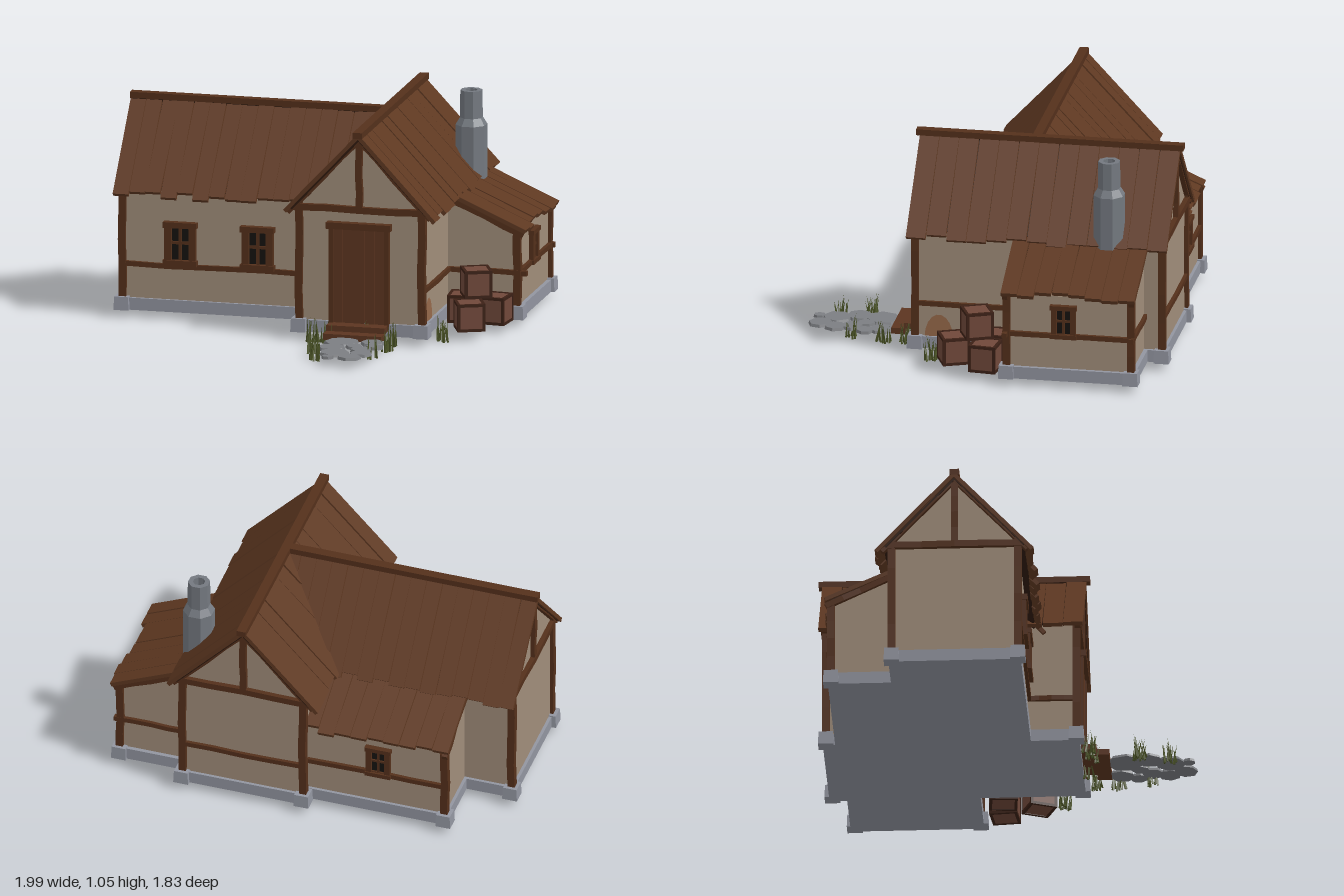
import * as THREE from 'three';

const mat = (color, side = THREE.FrontSide) => new THREE.MeshStandardMaterial({ color, side, flatShading: true });
const M = {
  wall: mat(0xa08d7a), roof: mat(0x5e3821), roofGap: mat(0x2e190e), wood: mat(0x54301b), door: mat(0x5c3520),
  stone: mat(0x9295a0), chimney: mat(0x747980), slab: mat(0x7c7e82), glass: mat(0x15120f), crate: mat(0x70483a),
  crateEdge: mat(0x3c2116), patch: mat(0x96694a, THREE.DoubleSide), grass: mat(0x4c5527, THREE.DoubleSide),
};
const V = (x, y, z) => new THREE.Vector3(x, y, z);

export function createModel() {
  const root = new THREE.Group();
  root.name = 'cottage';
  let seed = 7;
  const rnd = (a, b) => {
    seed = (seed * 16807) % 2147483647;
    return a + (b - a) * seed / 2147483647;
  };
  const add = (parent, name, geo, m, x = 0, y = 0, z = 0) => {
    const mesh = new THREE.Mesh(geo, m);
    mesh.name = name;
    mesh.position.set(x, y, z);
    parent.add(mesh);
    return mesh;
  };
  const box = (parent, name, m, w, h, d, x, y, z) => add(parent, name, new THREE.BoxGeometry(w, h, d), m, x, y, z);
  const group = (name, x = 0, y = 0, z = 0, yaw = 0, parent = root) => {
    const g = new THREE.Group();
    g.name = name;
    g.position.set(x, y, z);
    g.rotation.order = 'YXZ';
    g.rotation.y = yaw;
    parent.add(g);
    return g;
  };

  // Walls: profiles extruded along -x (alongX) or +z
  const wall = (name, pts, start, depth, alongX = false) => {
    const shape = new THREE.Shape(pts.map(p => new THREE.Vector2(...p)));
    const mesh = add(root, name, new THREE.ExtrudeGeometry(shape, { depth, bevelEnabled: false }), M.wall);
    if (alongX) { mesh.rotation.y = -Math.PI / 2; mesh.position.x = start; } else mesh.position.z = start;
  };
  const gable = (c, r) => [[c - r, 0.06], [c + r, 0.06], [c + r, 0.69], [c, 1.01], [c - r, 0.69]];
  wall('mainWalls', gable(0.29, 0.305), -0.87, 1.21);
  wall('wingWalls', gable(-0.2, 0.305), 0.2, 1.155, true);
  wall('sideRoomWalls', [[0.55, 0.06], [0.94, 0.06], [0.94, 0.475], [0.55, 0.64]], -0.78, 0.61);
  wall('backRoomWalls', [[-0.81, 0.06], [-0.45, 0.06], [-0.45, 0.64], [-0.81, 0.475]], 0.1, 0.815, true);

  // Stone footing under every block: x0, x1, z0, z1
  for (const [x0, x1, z0, z1] of [[-0.03, 0.61, -0.885, 0.355], [-0.97, 0.1, -0.52, 0.12],
    [0.5, 0.96, -0.8, -0.155], [-0.73, 0.1, -0.825, -0.4]])
    box(root, 'foundation', M.stone, x1 - x0, 0.06, z1 - z0, (x0 + x1) / 2, 0.077, (z0 + z1) / 2);

  // Timbers: slightly crooked beams between two points
  const beam = (name, a, b, w = 0.036, d = w) => {
    const dir = b.clone().sub(a), len = dir.length();
    const geo = new THREE.BoxGeometry(w, len, d, 1, 4, 1), p = geo.attributes.position, ph = rnd(0, 6);
    for (let i = 0; i < p.count; i++)
      p.setX(i, p.getX(i) + 0.003 * Math.sin(p.getY(i) / len * 8 + ph));
    const m = add(root, name, geo, M.wood);
    m.position.copy(a).add(b).multiplyScalar(0.5);
    m.quaternion.setFromUnitVectors(V(0, 1, 0), dir.normalize());
  };
  // Corner posts on stone blocks: x, z, top
  for (const [x, z, top] of [[-0.015, 0.34, 0.69], [0.595, 0.34, 0.69], [-0.015, -0.87, 0.69], [0.595, -0.87, 0.69],
    [-0.955, 0.105, 0.69], [-0.955, -0.505, 0.69], [0.94, -0.17, 0.475], [0.94, -0.78, 0.475], [-0.715, -0.81, 0.475]]) {
    beam('cornerPost', V(x, 0.1, z), V(x, top, z));
    const block = add(root, 'cornerStone', new THREE.CylinderGeometry(0.049, 0.053, 0.066, 4), M.stone, x, 0.08, z);
    block.rotation.y = Math.PI / 4;
  }
  // Mid rails: x0, z0, x1, z1
  for (const [x0, z0, x1, z1] of [[-0.955, 0.11, -0.02, 0.11], [0.6, -0.165, 0.99, -0.165], [0.6, -0.785, 0.97, -0.785],
    [0.945, -0.8, 0.945, -0.15], [0.6, -0.16, 0.6, 0.34], [-0.015, -0.875, 0.595, -0.875], [-0.715, -0.815, -0.02, -0.815],
    [-0.02, 0.1, -0.02, 0.34]])
    beam('midRail', V(x0, 0.275, z0), V(x1, 0.275, z1), 0.024);
  // Gable trusses: tie beam, king post and rafters
  const truss = at => {
    beam('tieBeam', at(-0.33, 0.665), at(0.33, 0.665), 0.032);
    beam('kingPost', at(0, 0.67), at(0, 1.0), 0.032);
    for (const s of [-1, 1]) beam('gableRafter', at(s * 0.355, 0.636), at(0, 1.012), 0.03);
  };
  truss((u, y) => V(0.285 + u, y, 0.348));
  truss((u, y) => V(0.285 + u, y, -0.878));
  truss((u, y) => V(-0.962, y, -0.2 + u));
  beam('sideRoomRafter', V(0.6, 0.625, -0.165), V(0.97, 0.462, -0.165), 0.028);
  beam('sideRoomRafter', V(0.6, 0.625, -0.785), V(0.97, 0.462, -0.785), 0.028);
  beam('backRoomRafter', V(-0.72, 0.62, -0.5), V(-0.72, 0.462, -0.835), 0.028);

  // Roof slopes: uneven planks over a dark underlay
  const slope = (name, x, y, z, yaw, pitch, width, len, n) => {
    const g = group(name, x, y, z, yaw);
    g.rotation.x = pitch;
    box(g, 'roofUnderlay', M.roofGap, width - 0.02, 0.01, len - 0.04, 0, -0.022, (len - 0.04) / 2);
    const w = width / n;
    for (let i = 0; i < n; i++) {
      const l = len + rnd(-0.018, 0.016);
      const plank = box(g, 'roofPlank', M.roof, w * 0.965, 0.02, l, (i + 0.5) * w - width / 2, -0.01 + rnd(-0.004, 0.004), l / 2);
      plank.rotation.y = rnd(-0.008, 0.008);
    }
  };
  const steep = Math.atan2(0.41, 0.385), low = Math.atan2(0.17, 0.385), H = Math.PI / 2;
  slope('mainRoofLeft', 0.285, 1.045, -0.265, H, steep, 1.28, 0.555, 13);
  slope('mainRoofRight', 0.285, 1.045, -0.265, -H, steep, 1.28, 0.555, 13);
  slope('wingRoofFront', -0.352, 1.043, -0.2, 0, steep, 1.275, 0.555, 16);
  slope('wingRoofBack', -0.352, 1.043, -0.2, Math.PI, steep, 1.275, 0.555, 16);
  slope('sideRoomRoof', 0.6, 0.66, -0.475, H, low, 0.66, 0.415, 8);
  slope('backRoomRoof', -0.37, 0.66, -0.48, Math.PI, low, 0.74, 0.405, 9);
  box(root, 'mainRidge', M.wood, 0.045, 0.03, 1.31, 0.285, 1.04, -0.265);
  box(root, 'wingRidge', M.wood, 1.275, 0.03, 0.045, -0.355, 1.04, -0.2);

  // Chimney with shoulder and open flue
  const profile = [[0, 0.56], [0.078, 0.56], [0.078, 0.89], [0.056, 0.925], [0.054, 1.06], [0.03, 1.06], [0.03, 0.98], [0, 0.98]];
  add(root, 'chimney', new THREE.LatheGeometry(profile.map(p => new THREE.Vector2(...p)), 8), M.chimney, 0.598, 0, -0.61)
    .rotation.y = Math.PI / 8;

  // Windows
  const windowUnit = (x, y, z, yaw, s) => {
    const g = group('window', x, y, z, yaw);
    g.scale.setScalar(s);
    box(g, 'windowPane', M.glass, 0.12, 0.19, 0.012, 0, 0, 0);
    for (const k of [-1, 1]) {
      box(g, 'windowJamb', M.wood, 0.034, 0.2, 0.035, k * 0.06, 0, 0.008);
      box(g, 'windowRail', M.wood, 0.168, 0.028, 0.045, 0, k * 0.094, 0.01);
    }
    box(g, 'mullion', M.wood, 0.016, 0.17, 0.02, 0, 0, 0.006);
    box(g, 'glazingBar', M.wood, 0.09, 0.014, 0.02, 0, 0.005, 0.006);
  };
  windowUnit(-0.665, 0.388, 0.108, 0, 1);
  windowUnit(-0.28, 0.388, 0.108, 0, 1);
  windowUnit(0.943, 0.348, -0.45, H, 0.78);
  windowUnit(-0.38, 0.348, -0.813, Math.PI, 0.78);

  // Door, frame and steps
  const door = group('door', 0.285, 0, 0.345);
  for (let i = 0; i < 5; i++) box(door, 'doorPlank', M.door, 0.051, 0.5, 0.02, (i - 2) * 0.053, 0.32, rnd(0, 0.004));
  box(door, 'doorBacking', M.crateEdge, 0.28, 0.5, 0.012, 0, 0.32, 0);
  for (const s of [-1, 1]) box(door, 'doorJamb', M.wood, 0.024, 0.5, 0.03, s * 0.138, 0.33, 0.006);
  box(door, 'doorLintel', M.wood, 0.32, 0.032, 0.045, 0, 0.585, 0.012);
  box(door, 'upperStep', M.door, 0.29, 0.03, 0.075, 0, 0.088, 0.045);
  box(door, 'lowerStep', M.door, 0.29, 0.03, 0.07, 0, 0.06, 0.11);

  // Exposed plaster patch beside the crates
  const patch = add(root, 'plasterPatch', new THREE.CircleGeometry(0.07, 9, 0, Math.PI), M.patch, 0.5985, 0.1, 0.225);
  patch.rotation.y = H;
  patch.scale.y = 1.7;

  // Stacked crates: framed boxes
  const crate = (x, y, z, yaw) => {
    const g = group('crate', x, y, z, yaw), s = 0.136, e = 0.014, o = (s - e) / 2;
    box(g, 'crateBody', M.crate, s - 0.006, s - 0.006, s - 0.006, 0, 0, 0);
    for (const a of [-o, o]) for (const b of [-o, o]) {
      box(g, 'crateEdge', M.crateEdge, s, e, e, 0, a, b);
      box(g, 'crateEdge', M.crateEdge, e, s, e, a, 0, b);
      box(g, 'crateEdge', M.crateEdge, e, e, s, a, b, 0);
    }
  };
  crate(0.70, 0.119, -0.05, 0.08);
  crate(0.86, 0.119, -0.05, -0.1);
  crate(0.775, 0.119, 0.12, 0.4);
  crate(0.78, 0.258, 0.005, 0.42);

  // Stepping stones: x, z, radius
  for (const [x, z, r] of [[0.25, 0.56, 0.09], [0.4, 0.54, 0.065], [0.23, 0.68, 0.07], [0.38, 0.69, 0.055], [0.43, 0.62, 0.045],
    [0.27, 0.78, 0.075], [0.4, 0.77, 0.055], [0.36, 0.85, 0.062], [0.26, 0.87, 0.03], [0.33, 0.63, 0.05]]) {
    const stone = add(root, 'pathStone', new THREE.CylinderGeometry(r * 0.92, r, 0.014, 7), M.slab, x, 0.054, z);
    stone.rotation.y = rnd(0, 6);
    stone.scale.z = rnd(0.8, 1.05);
  }

  // Grass tufts: x, z, blade count
  for (const [x, z, n] of [[0.07, 0.4, 16], [0.14, 0.41, 12], [0.46, 0.41, 12], [0.67, 0.25, 16], [0.13, 0.64, 16],
    [0.17, 0.78, 14], [0.44, 0.69, 8], [0.47, 0.52, 10], [0.34, 0.39, 6]]) {
    const tuft = group('grassTuft', x, 0, z);
    for (let i = 0; i < n; i++) {
      const h = rnd(0.07, 0.125);
      const blade = add(tuft, 'grassBlade', new THREE.ConeGeometry(0.006, h, 3), M.grass, rnd(-0.03, 0.03), 0.012 + h / 2, rnd(-0.03, 0.03));
      blade.rotation.set(rnd(-0.2, 0.2), rnd(0, 6), rnd(-0.2, 0.2));
    }
  }
  return root;
}
